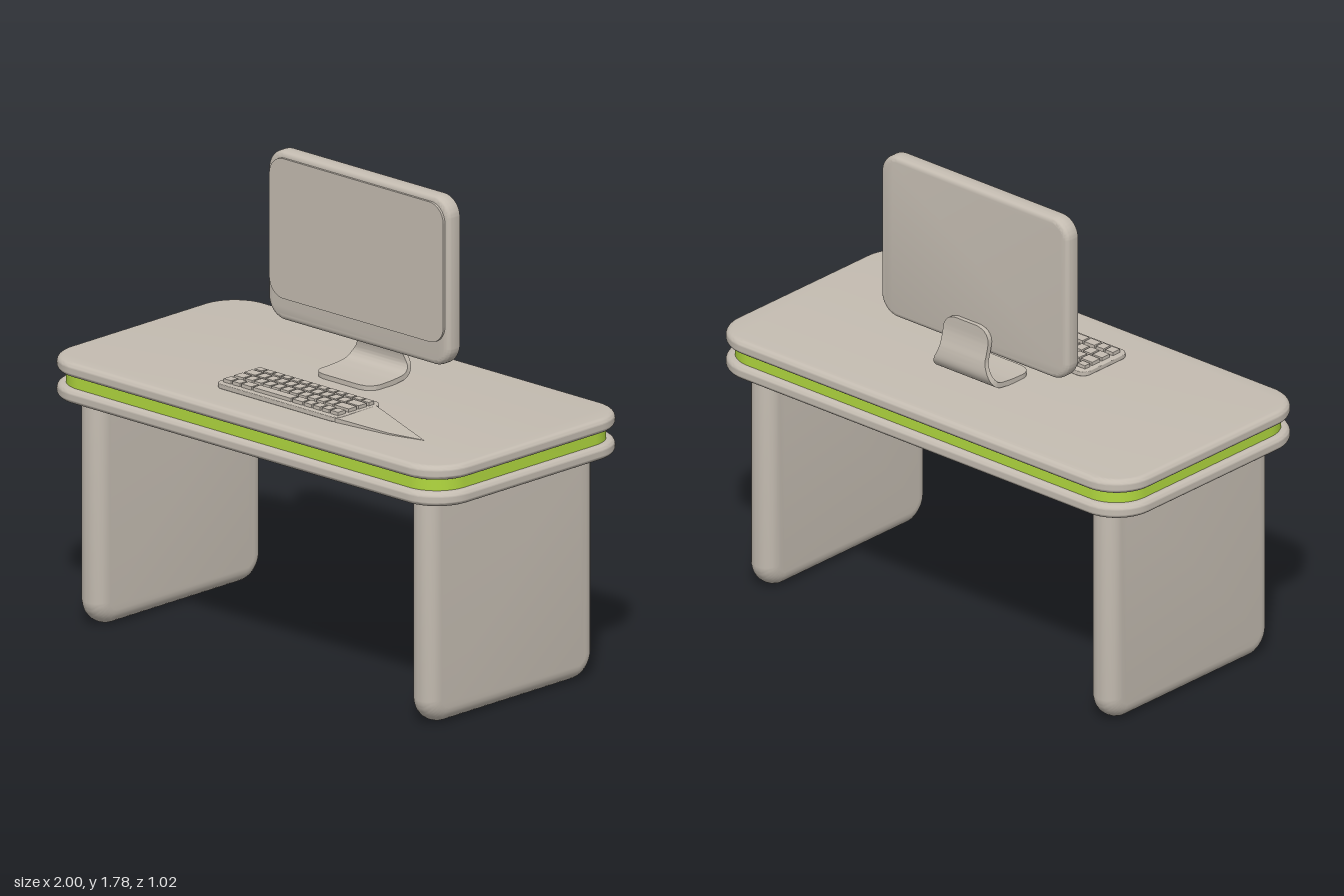
import * as THREE from 'three';
import { toCreasedNormals } from 'three/addons/utils/BufferGeometryUtils.js';
import { ConvexGeometry } from 'three/addons/geometries/ConvexGeometry.js';

const grey = new THREE.MeshStandardMaterial({ color: 0xc4bcb1 });
grey.name = 'warm grey';
const green = new THREE.MeshStandardMaterial({ color: 0xb2d93f });
green.name = 'lime green';

// Rounded rectangle of full size w x h x depth, centred, with round bevels
function slab(w, h, depth, radius, bevel) {
  const x = w / 2 - bevel, y = h / 2 - bevel, r = Math.max(radius - bevel, 0.002);
  const s = new THREE.Shape();
  s.moveTo(-x + r, -y);
  s.lineTo(x - r, -y);
  s.absarc(x - r, -y + r, r, -Math.PI / 2, 0);
  s.lineTo(x, y - r);
  s.absarc(x - r, y - r, r, 0, Math.PI / 2);
  s.lineTo(-x + r, y);
  s.absarc(-x + r, y - r, r, Math.PI / 2, Math.PI);
  s.lineTo(-x, -y + r);
  s.absarc(-x + r, -y + r, r, Math.PI, Math.PI * 1.5);
  const g = new THREE.ExtrudeGeometry(s, {
    depth: depth - 2 * bevel, curveSegments: 10,
    bevelEnabled: bevel > 0, bevelSize: bevel, bevelThickness: bevel, bevelSegments: 6,
  });
  g.translate(0, 0, -depth / 2 + bevel);
  return toCreasedNormals(g, 0.6);
}

function add(parent, name, geometry, material, x = 0, y = 0, z = 0) {
  const m = new THREE.Mesh(geometry, material);
  m.name = name;
  m.position.set(x, y, z);
  parent.add(m);
  return m;
}

// Bent plate: a box whose length follows a side profile, with rounded ends
function standGeometry() {
  const path = new THREE.CatmullRomCurve3([
    [1.02, 0], [1.02, -0.07], [1.024, -0.14], [1.035, -0.19], [1.065, -0.214],
    [1.11, -0.212], [1.15, -0.2], [1.19, -0.191], [1.245, -0.188],
  ].map(([y, z]) => new THREE.Vector3(0, y, z)));
  const length = path.getLength();
  const g = new THREE.BoxGeometry(1, 1, 1, 4, 60, 1);
  const p = g.attributes.position;
  for (let i = 0; i < p.count; i++) {
    const t = p.getY(i) + 0.5;
    const c = path.getPointAt(t), d = path.getTangentAt(t);
    const r = 0.055, end = Math.min(Math.min(t, 1 - t) * length, r);
    const half = 0.145 - 0.036 * THREE.MathUtils.smoothstep(c.y, 1.03, 1.13)
      - r + Math.sqrt(r * r - (r - end) ** 2);
    const off = p.getZ(i) * 0.02;
    p.setXYZ(i, p.getX(i) * 2 * half, c.y - d.z * off, c.z + d.y * off);
  }
  return toCreasedNormals(g, 0.7);
}

export function createModel() {
  const model = new THREE.Group();
  model.name = 'computerDesk';

  // Desk top: two slabs with a recessed green band between them
  const desk = new THREE.Group();
  desk.name = 'desk';
  model.add(desk);
  const slabGeo = slab(2, 1.016, 0.054, 0.16, 0.024).rotateX(Math.PI / 2);
  add(desk, 'upperTop', slabGeo, grey, 0, 0.985, 0);
  add(desk, 'lowerTop', slabGeo, grey, 0, 0.885, 0);
  add(desk, 'greenBand', slab(1.94, 0.96, 0.06, 0.14, 0).rotateX(Math.PI / 2), green, 0, 0.935, 0);

  // Panel legs with fully rounded edges
  const legGeo = slab(0.865, 0.96, 0.118, 0.1, 0.056).rotateY(Math.PI / 2);
  for (const side of [-1, 1]) {
    add(desk, side > 0 ? 'leftLeg' : 'rightLeg', legGeo, grey, side * 0.829, 0.48, 0);
  }

  // Monitor and its bent stand
  const monitor = new THREE.Group();
  monitor.name = 'monitor';
  model.add(monitor);
  add(monitor, 'monitorBody', slab(0.91, 0.642, 0.07, 0.08, 0.022), grey, 0.005, 1.459, -0.144);
  add(monitor, 'screen', slab(0.87, 0.53, 0.009, 0.07, 0), grey, 0.005, 1.491, -0.1045);
  add(monitor, 'stand', standGeometry(), grey, 0.025, 0, 0);

  // Keyboard with rows of keys
  const keyboard = new THREE.Group();
  keyboard.name = 'keyboard';
  model.add(keyboard);
  add(keyboard, 'keyboardPlate', slab(0.61, 0.245, 0.018, 0.035, 0.003).rotateX(Math.PI / 2),
    grey, 0.025, 1.021, 0.22);
  const rows = [
    { z: 0.142, d: 0.028, keys: [1, 1, 1, 1, 1, 1, 1, 1, 1, 1, 1, 1, 1] },
    { z: 0.188, d: 0.042, keys: [1.4, 1, 1, 1, 1, 1, 1, 1, 1, 1, 1, 1.6] },
    { z: 0.24, d: 0.042, keys: [1.2, 1, 1, 1, 1, 1, 1, 1, 1, 1, 1, 1.8] },
    { z: 0.297, d: 0.038, keys: [1, 1, 1.3, 4.4, 1.3, 1, 1, 1, 1] },
  ];
  for (const { z, d, keys } of rows) {
    const unit = 0.58 / keys.reduce((a, b) => a + b, 0);
    let x = -0.262;
    for (const k of keys) {
      const w = k * unit;
      add(keyboard, 'key', new THREE.BoxGeometry(w - 0.008, 0.014, d), grey, x + w / 2, 1.036, z);
      x += w;
    }
  }

  // Low wedge beside the keyboard
  const wedge = [];
  for (const [x, y, z] of [[0.32, 1.03, 0.13], [0.32, 1.028, 0.338], [0.56, 1.018, 0.31], [0.7, 1.013, 0.27]]) {
    wedge.push(new THREE.Vector3(x, y, z), new THREE.Vector3(x, 1.005, z));
  }
  add(model, 'sideWedge', new ConvexGeometry(wedge), grey);

  return model;
}
